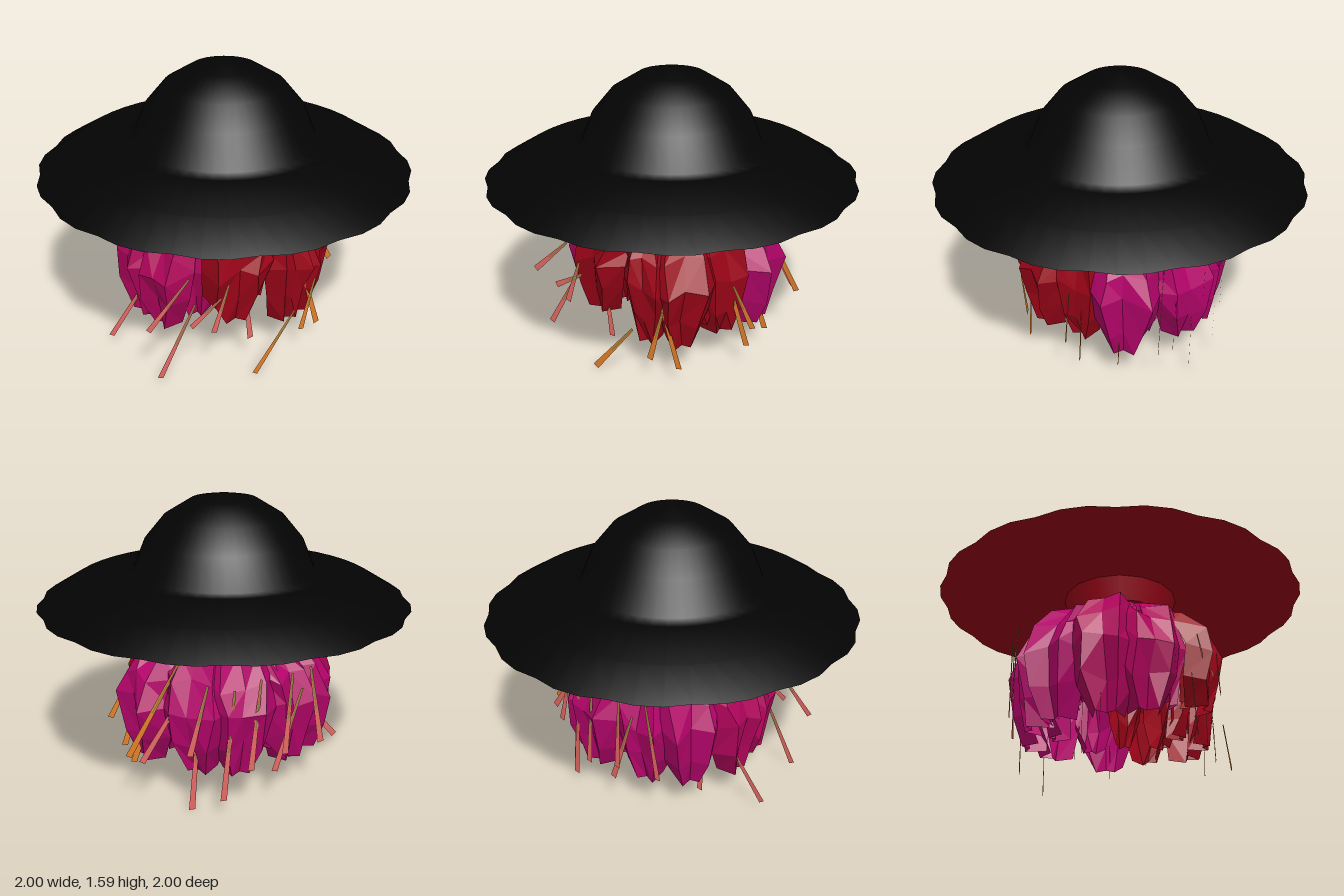
import * as THREE from 'three';

const paint = (name, color, extra = {}) => Object.assign(new THREE.MeshStandardMaterial({ color, ...extra }), { name });
const two = { side: THREE.DoubleSide };
const black = paint('black', 0x030303);
const wine = paint('wine', 0x9c0418);
const red = paint('red', 0x9c0418, two);
const magenta = paint('magenta', 0xb4046a, two);
const rose = paint('rose', 0xb2045c, two);
const amber = paint('amber', 0xe4802a, two);
const salmon = paint('salmon', 0xe66a64, two);
const olive = paint('olive', 0x8a8040, two);

const DEG = Math.PI / 180;
let seed = 11;
const rand = () => {
  seed = (seed * 16807) % 2147483647;
  return seed / 2147483647 - 0.5;
};

function mesh(parent, name, geometry, material) {
  const m = new THREE.Mesh(geometry, material);
  m.name = name;
  parent.add(m);
  return m;
}

// Turned profile whose outer rim is rippled by sixteen shallow scallops
function turned(profile) {
  const g = new THREE.LatheGeometry(profile.map(([r, y]) => new THREE.Vector2(r, y)), 48);
  const p = g.attributes.position;
  for (let i = 0; i < p.count; i++) {
    const r = Math.hypot(p.getX(i), p.getZ(i));
    if (r < 0.9) continue;
    const column = Math.floor(i / profile.length);
    const s = (column % 3 === 0 ? 0.988 : 1.007) / r;
    p.setX(i, p.getX(i) * s);
    p.setZ(i, p.getZ(i) * s);
  }
  return g;
}

// Drooping folded petal: rows of [radius, height 0..1 from hem, half width]
const ROWS = [[0.24, 1, 0.07], [0.43, 0.86, 0.16], [0.53, 0.7, 0.2], [0.58, 0.5, 0.205], [0.55, 0.24, 0.17], [0.51, 0, 0.09]];
const FOLDS = [-0.1, 0.0, -0.03, 0.02, -0.09];

function petalGeometry(angle, hem, scale, width) {
  const verts = [], index = [], n = FOLDS.length;
  const flip = rand() > 0 ? 1 : -1;
  const twist = rand() * 0.15;
  ROWS.forEach(([r, t, w], j) => {
    FOLDS.forEach((fold, k) => {
      const u = (k / (n - 1)) * 2 - 1;
      const loose = j > 0 && j < ROWS.length - 1 ? 1 : 0;
      const radius = r * scale + fold * (j ? 1 : 0.3) + rand() * 0.05 * loose;
      const a = angle * DEG + (flip * u * w * width) / r + twist * (1 - t) + rand() * 0.07 * loose;
      const y = hem + (0.91 - hem) * t + rand() * 0.07 * loose;
      verts.push(radius * Math.sin(a), y, radius * Math.cos(a));
      if (j && k) {
        const d = j * n + k;
        index.push(d - n - 1, d - 1, d, d - n - 1, d, d - n);
      }
    });
  });
  const g = new THREE.BufferGeometry();
  g.setAttribute('position', new THREE.Float32BufferAttribute(verts, 3));
  g.setIndex(index);
  const flat = g.toNonIndexed();
  flat.computeVertexNormals();
  return flat;
}

// Flat tapering strip facing front and back, from root to a fraction of the way to the tip
function stripGeometry([x0, y0, x1, y1, z], end, rootWidth, endWidth) {
  const l = Math.hypot(x1 - x0, y1 - y0);
  const nx = -(y1 - y0) / l, ny = (x1 - x0) / l;
  const at = (t, w) => new THREE.Vector2(x0 + (x1 - x0) * t + nx * w, y0 + (y1 - y0) * t + ny * w);
  const shape = new THREE.Shape([at(0, rootWidth), at(end, endWidth), at(end, -endWidth), at(0, -rootWidth)]);
  return new THREE.ShapeGeometry(shape).translate(0, 0, z);
}

// Filament with a fine stem line along its upper half on both faces
function addFilament(parent, f, material) {
  const filament = new THREE.Group();
  filament.name = 'filament';
  parent.add(filament);
  mesh(filament, 'blade', stripGeometry(f, 1, 0.007, 0.018), material);
  for (const side of [-1, 1]) {
    mesh(filament, 'stemLine', stripGeometry(f, 0.55, 0.004, 0.004).translate(0, 0, side * 0.002), olive);
  }
}

export function createModel() {
  const model = new THREE.Group();
  model.name = 'hatted flower';

  // Broad hat flowing from brim to crown, its lining and the collar below
  const hat = new THREE.Group();
  hat.name = 'hat';
  model.add(hat);
  mesh(hat, 'brimAndCrown', turned([[1, 1], [0.83, 1.107], [0.58, 1.172], [0.492, 1.173],
    [0.425, 1.335], [0.32, 1.46], [0.175, 1.548], [0, 1.58]]), black);
  mesh(hat, 'brimLining', turned([[0, 1.04], [1, 1]]), wine);
  mesh(model, 'collar', new THREE.CylinderGeometry(0.32, 0.275, 0.14, 16).translate(0, 0.971, 0), wine);

  // Outer petals: angle from the front, hem height, size, width, material
  const petals = new THREE.Group();
  petals.name = 'petals';
  model.add(petals);
  const outer = [
    [-24, 0.3, 0.98, 1.15, red], [14, 0.2, 0.96, 0.9, red], [39, 0.18, 0.98, 1, red], [68, 0.2, 0.9, 1.1, red],
    [102, 0.18, 1.05, 1.1, magenta], [138, 0.2, 1.03, 1.1, magenta], [168, 0.2, 1.05, 1, magenta],
    [199, 0.2, 1, 1, magenta], [230, 0.19, 1.02, 1, magenta], [260, 0.18, 1.04, 1, rose], [290, 0.2, 1.02, 1, rose],
  ];
  outer.forEach(([angle, hem, size, width, material]) => {
    mesh(petals, 'outerPetal', petalGeometry(angle, hem, size, width), material);
  });
  // Inner petals fill the gaps between the outer ones
  outer.forEach(([angle, hem, size, width, material]) => {
    mesh(petals, 'innerPetal', petalGeometry(angle + 15, hem + 0.08, size * 0.84, width * 0.8), material);
  });

  // Long filaments spreading out through the petals
  const filaments = new THREE.Group();
  filaments.name = 'filaments';
  model.add(filaments);
  const front = [
    [0.17, 0.62, 0.33, 0.1, 0.47], [0.36, 0.8, 0.66, 0.3, -0.29], [0.1, 0.32, -0.15, 0, 0.56],
    [0.38, 0.65, 0.57, 0.14, -0.07], [0.26, 0.45, 0.18, 0.14, 0.52], [0.39, 0.65, 0.56, 0.14, 0.14],
    [0.5, 0.52, 0.62, 0.3, 0.2],
  ];
  const back = [
    [-0.45, 0.61, -0.69, 0.38, 0.39], [-0.38, 0.45, -0.7, 0.06, -0.08], [-0.4, 0.42, -0.62, 0.03, 0.36],
    [-0.36, 0.6, -0.35, 0.03, -0.18], [-0.28, 0.58, -0.37, 0.32, 0.5], [-0.3, 0.48, -0.48, 0.37, 0.46],
    [-0.15, 0.5, -0.11, 0.15, 0.45], [-0.2, 0.65, -0.05, 0.2, -0.56], [0.32, 0.6, 0.37, 0, -0.44],
    [0.18, 0.7, 0.24, 0.09, -0.56], [0.3, 0.75, 0.61, 0.29, -0.36], [-0.13, 0.75, -0.1, 0.3, -0.58],
    [-0.26, 0.75, -0.34, 0.3, -0.53], [0.05, 0.75, 0.1, 0.25, -0.59], [0.3, 0.72, 0.4, 0.35, -0.5],
  ];
  front.forEach((f) => addFilament(filaments, f, amber));
  back.forEach((f) => addFilament(filaments, f, salmon));

  return model;
}
